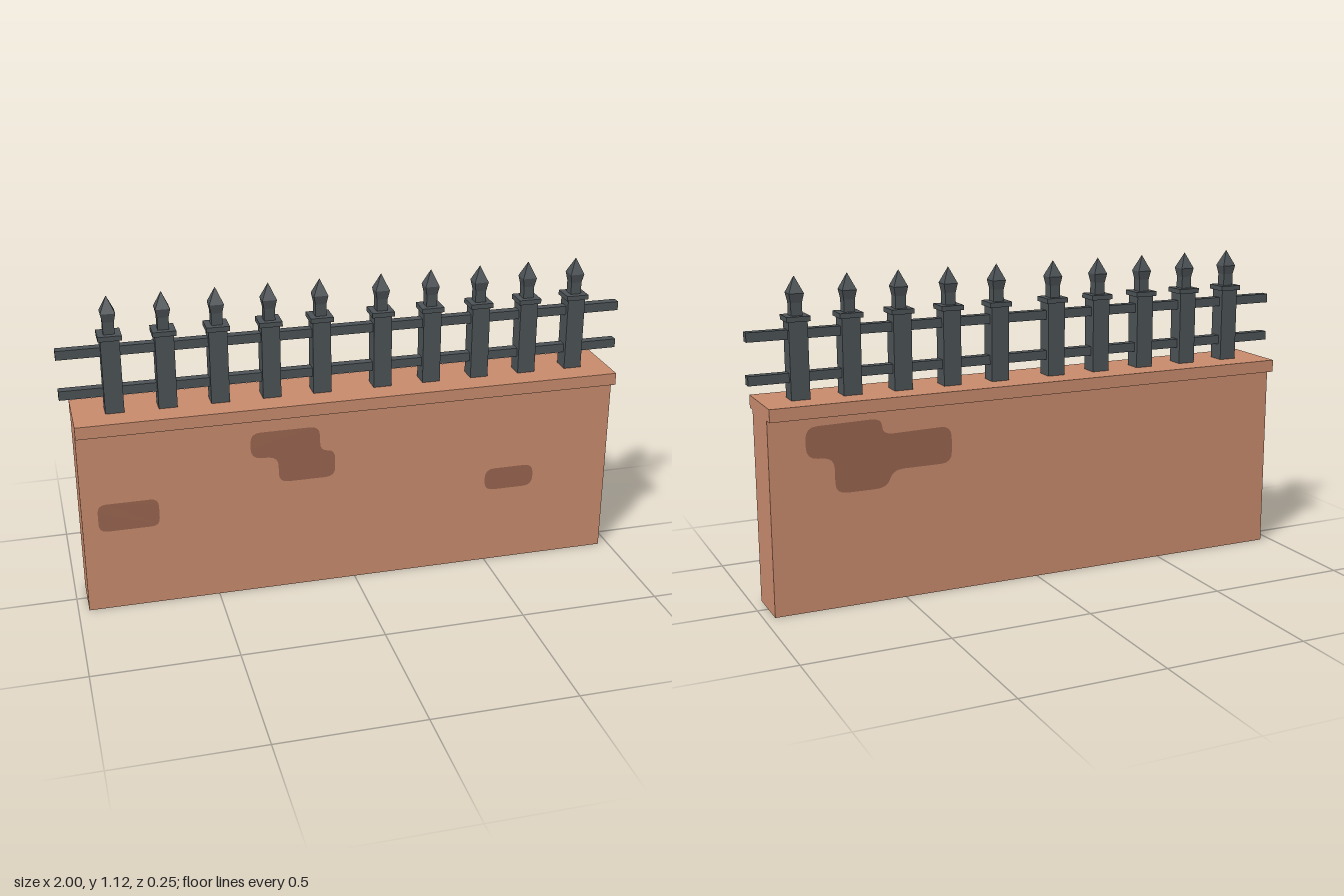
import * as THREE from 'three';

const make = (name, color) => {
  const m = new THREE.MeshStandardMaterial({ color });
  m.name = name;
  return m;
};

export function createModel() {
  const model = new THREE.Group();
  model.name = 'fencedWall';
  const plaster = make('terracotta plaster', 0xc88b6d);
  const worn = make('worn brown patch', 0x9a6550);
  const iron = make('dark iron', 0x4c5256);
  iron.flatShading = true;

  const add = (parent, name, geometry, material, x = 0, y = 0, z = 0) => {
    const mesh = new THREE.Mesh(geometry, material);
    mesh.name = name;
    mesh.position.set(x, y, z);
    parent.add(mesh);
    return mesh;
  };
  const box = (parent, name, material, w, d, y0, y1) =>
    add(parent, name, new THREE.BoxGeometry(w, y1 - y0, d), material, 0, (y0 + y1) / 2);

  // Wall and overhanging coping
  const wallHalf = 0.088;
  box(model, 'wall', plaster, 1.926, wallHalf * 2, 0, 0.672);
  box(model, 'coping', plaster, 1.926, 0.246, 0.672, 0.716);

  // Horizontal rails
  box(model, 'lowerRail', iron, 2, 0.032, 0.774, 0.806);
  box(model, 'upperRail', iron, 2, 0.032, 0.917, 0.949);

  // Square section solid with a different half-width at each end
  const taper = (parent, name, bottom, top, y0, y1) => {
    const g = new THREE.CylinderGeometry(top * Math.SQRT2, bottom * Math.SQRT2, y1 - y0, 4);
    g.rotateY(Math.PI / 4);
    return add(parent, name, g, iron, 0, (y0 + y1) / 2);
  };

  // Posts with collar, neck and spear tip
  const postX = [-0.82, -0.64, -0.46, -0.28, -0.102, 0.115, 0.294, 0.473, 0.652, 0.831];
  for (const x of postX) {
    const post = new THREE.Group();
    post.name = 'post';
    post.position.x = x;
    box(post, 'shaft', iron, 0.064, 0.064, 0.716, 0.976);
    box(post, 'collar', iron, 0.08, 0.08, 0.976, 0.993);
    taper(post, 'neck', 0.019, 0.019, 0.993, 1.035);
    taper(post, 'spearBase', 0.019, 0.025, 1.035, 1.066);
    taper(post, 'spearTip', 0.025, 0, 1.066, 1.122);
    model.add(post);
  }

  // Worn patches: polygons with rounded corners, laid on the wall faces
  const patch = (name, points, r, back) => {
    const pts = points.map(([x, y]) => new THREE.Vector2(back ? -x : x, y));
    const shape = new THREE.Shape();
    pts.forEach((p, i) => {
      const toward = (q) => {
        const d = q.clone().sub(p);
        return d.setLength(Math.min(r, d.length() / 2)).add(p);
      };
      const a = toward(pts[(i + pts.length - 1) % pts.length]);
      const b = toward(pts[(i + 1) % pts.length]);
      if (i) shape.lineTo(a.x, a.y);
      else shape.moveTo(a.x, a.y);
      shape.quadraticCurveTo(p.x, p.y, b.x, b.y);
    });
    shape.closePath();
    const mesh = add(model, name, new THREE.ShapeGeometry(shape, 4), worn, 0, 0,
      (wallHalf + 0.002) * (back ? -1 : 1));
    if (back) mesh.rotation.y = Math.PI;
  };
  const rect = (x0, x1, y0, y1) => [[x0, y0], [x1, y0], [x1, y1], [x0, y1]];
  patch('leftPatch', rect(-0.908, -0.698, 0.303, 0.407), 0.03);
  patch('rightPatch', rect(0.49, 0.676, 0.289, 0.374), 0.035);
  patch('middlePatch', [[-0.372, 0.615], [-0.372, 0.52], [-0.275, 0.515], [-0.275, 0.417],
    [-0.072, 0.417], [-0.072, 0.52], [-0.126, 0.52], [-0.126, 0.615]], 0.035);
  patch('backPatch', [[0.838, 0.637], [0.838, 0.53], [0.742, 0.525], [0.742, 0.4],
    [0.56, 0.4], [0.54, 0.46], [0.325, 0.46], [0.325, 0.59], [0.574, 0.585], [0.574, 0.642]],
  0.04, true);

  return model;
}
